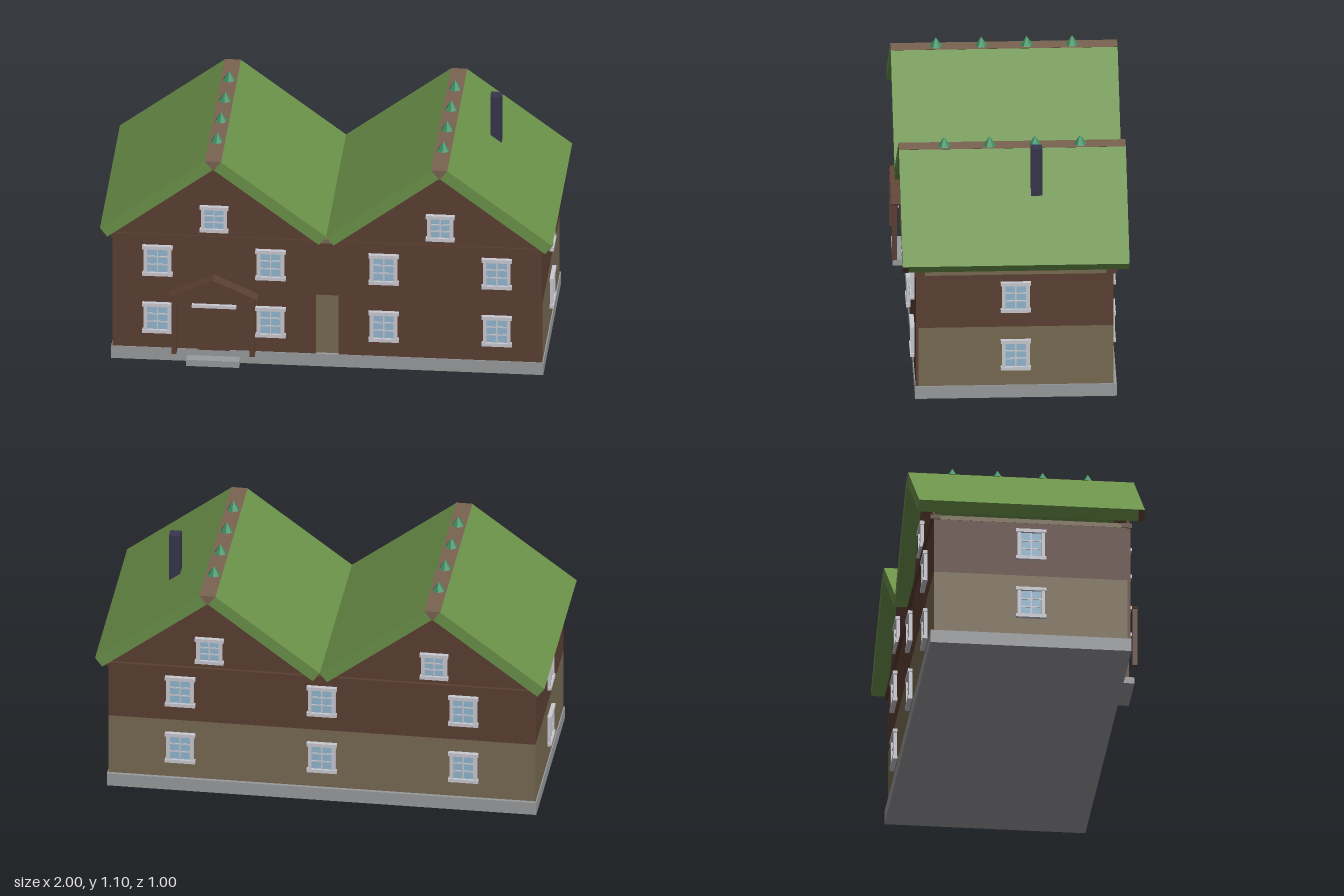
import * as THREE from 'three';

const mat = (name, color, side = THREE.FrontSide) => {
  const m = new THREE.MeshStandardMaterial({ color, side });
  m.name = name;
  return m;
};

export function createModel() {
  const model = new THREE.Group();
  model.name = 'twinGableHouse';
  const brown = mat('darkBrownTimber', 0x5c4033);
  const olive = mat('oliveWall', 0x786a52);
  const grey = mat('stoneGrey', 0x999b9e);
  const green = mat('roofGreen', 0x6b924a);
  const ridgeBrown = mat('ridgeBrown', 0x7a6452);
  const leaf = mat('ridgeFinialGreen', 0x3f9063);
  const navy = mat('chimneyNavy', 0x37364c);
  const white = mat('windowFrameGrey', 0xcacad2);
  const blue = mat('windowGlass', 0x93b8d0);

  const add = (parent, name, geometry, material) => {
    const mesh = new THREE.Mesh(geometry, material);
    mesh.name = name;
    parent.add(mesh);
    return mesh;
  };
  // Box given by its extents along each axis
  const box = (name, material, x0, x1, y0, y1, z0, z1, parent = model) => {
    const b = add(parent, name, new THREE.BoxGeometry(x1 - x0, y1 - y0, z1 - z0), material);
    b.position.set((x0 + x1) / 2, (y0 + y1) / 2, (z0 + z1) / 2);
    return b;
  };
  // Outline in x and y, extruded from z0 to z1
  const prism = (name, material, points, z0, z1, parent = model) => {
    const shape = new THREE.Shape(points.map(([x, y]) => new THREE.Vector2(x, y)));
    const g = new THREE.ExtrudeGeometry(shape, { depth: z1 - z0, bevelEnabled: false });
    g.translate(0, 0, z0);
    return add(parent, name, g, material);
  };

  // Foundation and two-tone walls
  box('foundation', grey, -0.955, 0.955, 0, 0.06, -0.445, 0.445);
  box('lowerWalls', olive, -0.95, 0.95, 0.06, 0.345, -0.43, 0.43);
  box('upperWalls', brown, -0.95, 0.95, 0.345, 0.6, -0.43, 0.43);
  box('ceilingBand', olive, -0.951, 0.951, 0.6, 0.62, -0.42, 0.432);
  box('backCornice', brown, -0.956, 0.956, 0.6, 0.62, -0.445, -0.4);

  for (const s of [-1, 1]) {
    const cx = 0.5 * s;
    const half = new THREE.Group();
    half.name = s < 0 ? 'rightHalf' : 'leftHalf';
    half.position.x = cx;
    model.add(half);

    // Front facade, back gable and cornice
    prism('frontFacade', brown,
      [[-0.45, 0.06], [0.45, 0.06], [0.45, 0.615], [0, 0.955], [-0.45, 0.615]], 0.428, 0.441, half);
    prism('backGable', brown, [[-0.45, 0.615], [0.45, 0.615], [0, 0.955]], -0.431, -0.418, half);
    box('frontCornice', brown, -0.456, 0.456, 0.598, 0.62, 0.4, 0.446, half);

    // Roof slopes, thick slabs with square-cut ends
    for (const d of [-1, 1]) {
      const pts = [[0.5, 0.668], [0.035, 1.016], [0.0035, 0.974], [0.468, 0.626]];
      const outline = pts.map(([x, y]) => [d * x, y]);
      prism('roofSlope', green, outline, -0.5, 0.5, half);
      // Board end at the front of the outer eave
      if (d === s) {
        const end = [[0.5, 0.668], [0.468, 0.626], [0.47, 0.6245], [0.502, 0.6665]];
        prism('eaveBoardEnd', brown, end.map(([x, y]) => [d * (x - 0.001), y]), 0.473, 0.5, half);
      }
    }
    prism('ridgeBoard', ridgeBrown, [[-0.036, 1.017], [0, 0.97], [0.036, 1.017]], -0.5, 0.5, half);

    // Small cones along the ridge
    for (const z of [-0.3, -0.1, 0.1, 0.3]) {
      const g = new THREE.ConeGeometry(0.029, 0.044, 6).toNonIndexed();
      g.computeVertexNormals();
      add(half, 'ridgeFinial', g, leaf).position.set(0, 1.038, z);
    }
  }

  box('chimney', navy, 0.675, 0.725, 0.61, 1.1, -0.125, -0.075);

  // Window facing +z, its foot at the origin
  const addWindow = (x, y, z, turn, h = 0.146, w = 0.122) => {
    const g = new THREE.Group();
    g.name = 'window';
    g.position.set(x, y, z);
    g.rotation.y = turn;
    model.add(g);
    const a = w / 2, bar = 0.016;
    box('glass', blue, -a + 0.005, a - 0.005, 0.005, h - 0.005, 0, 0.008, g);
    for (const s of [-1, 1]) {
      const c = s * (a - bar / 2);
      box('stile', white, c - bar / 2, c + bar / 2, 0.01, h - 0.01, 0, 0.016, g);
    }
    box('bottomRail', white, -a - 0.006, a + 0.006, 0, bar, 0, 0.02, g);
    box('topRail', white, -a - 0.006, a + 0.006, h - bar, h, 0, 0.02, g);
    box('mullion', white, -0.003, 0.003, bar, h - bar, 0, 0.012, g);
    for (const t of [1 / 3, 2 / 3]) {
      const m = bar + (h - 2 * bar) * t;
      box('glazingBar', white, -a + bar, a - bar, m - 0.003, m + 0.003, 0, 0.011, g);
    }
  };
  for (const y of [0.138, 0.42]) {
    for (const x of [-0.75, -0.25, 0.25, 0.75]) addWindow(x, y, 0.441, 0);
    for (const x of [-0.63, 0, 0.63]) addWindow(x, y, -0.43, Math.PI);
    for (const s of [-1, 1]) addWindow(s * 0.948, y, 0, s * Math.PI / 2);
  }
  for (const x of [-0.5, 0.5]) {
    addWindow(x, 0.645, 0.441, 0, 0.126, 0.115);
    addWindow(x, 0.645, -0.431, Math.PI, 0.126, 0.115);
  }

  // Porch with door, posts, gabled canopy and step
  const porch = new THREE.Group();
  porch.name = 'porch';
  porch.position.x = -0.5;
  model.add(porch);
  box('step', grey, -0.12, 0.115, 0, 0.03, 0.44, 0.494, porch);
  box('door', brown, -0.073, 0.07, 0.06, 0.268, 0.44, 0.45, porch);
  box('doorLintel', white, -0.098, 0.098, 0.27, 0.284, 0.44, 0.458, porch);
  for (const s of [-1, 1]) {
    const c = s * 0.173;
    box('frontPost', brown, c - 0.011, c + 0.011, 0.06, 0.335, 0.478, 0.5, porch);
    box('backPost', brown, c - 0.011, c + 0.011, 0.06, 0.335, 0.44, 0.455, porch);
    prism('canopySlope', brown,
      [[0, 0.431], [s * 0.196, 0.342], [s * 0.192, 0.332], [0, 0.419]], 0.44, 0.504, porch);
  }
  prism('canopyPediment', brown, [[-0.186, 0.333], [0.186, 0.333], [0, 0.42]], 0.44, 0.498, porch);

  return model;
}
